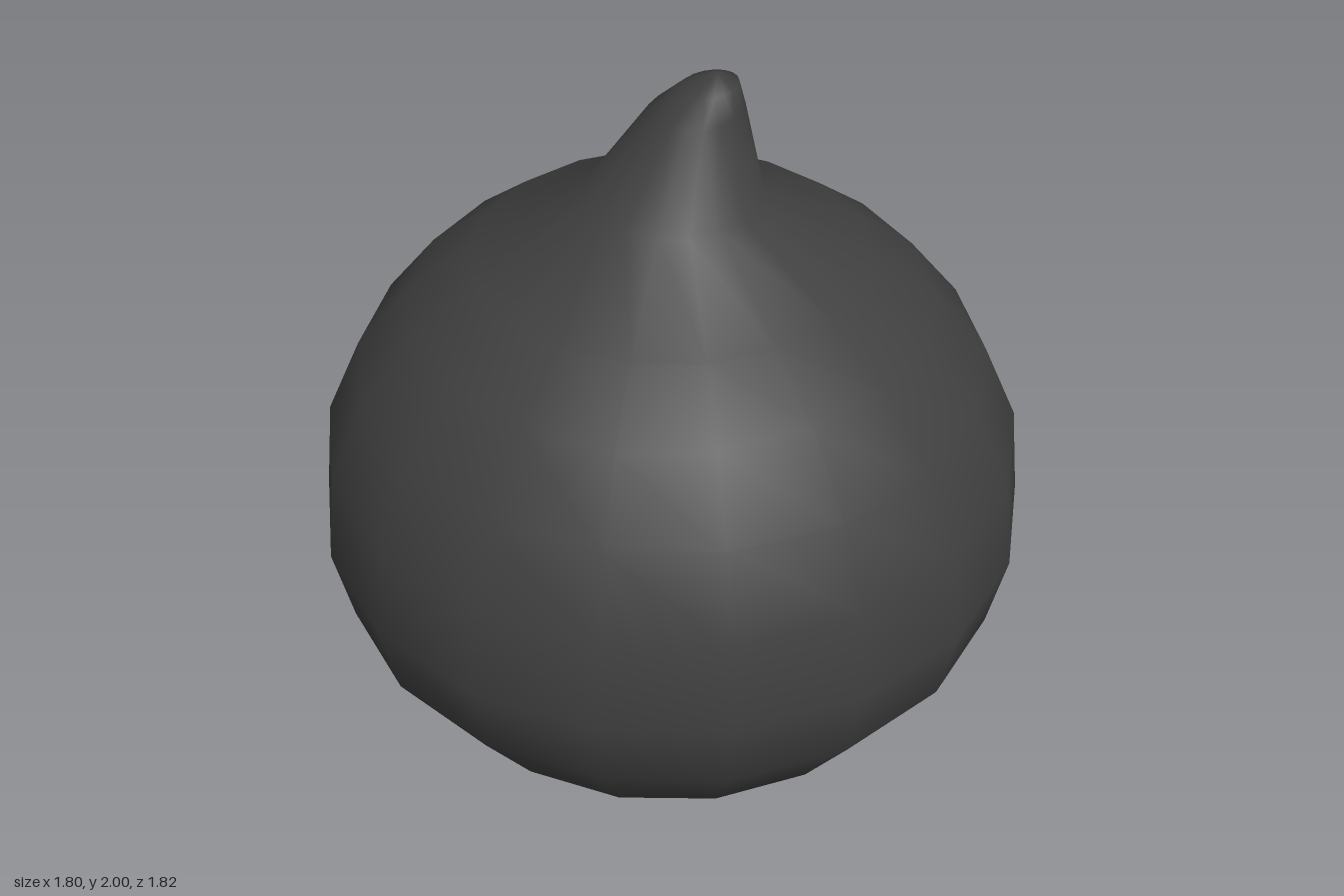
import * as THREE from 'three';
import { mergeVertices } from 'three/addons/utils/BufferGeometryUtils.js';

const skin = new THREE.MeshStandardMaterial({ color: 0x404040, roughness: 1 });

// Turned surface with welded seams, whose rings may shift sideways by a rule
function turned(profile, sides, shift) {
  const points = profile.map(([r, y]) => new THREE.Vector2(r, y));
  let geometry = new THREE.LatheGeometry(points, sides);
  const p = geometry.attributes.position;
  if (shift) {
    for (let i = 0; i < p.count; i++) {
      const [dx, dy, dz] = shift(p.getX(i), p.getY(i), p.getZ(i));
      p.setXYZ(i, p.getX(i) + dx, p.getY(i) + dy, p.getZ(i) + dz);
    }
  }
  geometry.deleteAttribute('uv');
  geometry.deleteAttribute('normal');
  geometry = mergeVertices(geometry, 1e-4);
  geometry.computeVertexNormals();
  return geometry;
}

function part(name, geometry) {
  const mesh = new THREE.Mesh(geometry, skin);
  mesh.name = name;
  return mesh;
}

export function createModel() {
  const group = new THREE.Group();
  group.name = 'onion';

  // Round bulb drawn up into a neck, with a stem leaning to the front left
  const bulb = [
    [0, 0.04], [0.16, 0.05], [0.35, 0.12], [0.53, 0.2], [0.7, 0.335], [0.87, 0.59],
    [0.912, 0.8], [0.882, 1.04], [0.79, 1.24], [0.65, 1.41], [0.49, 1.53],
    [0.215, 1.695], [0.115, 1.9], [0.07, 1.955], [0, 1.985],
  ];
  group.add(part('bulb', turned(bulb, 18, (x, y, z) => {
    if (y < 1.6) return [0, 0, 0];
    const t = (y - 1.695) / 0.29;
    const lean = 0.07 * t * t;
    return [lean, t * (0.015 + 0.12 * (x + z)), lean + 0.008];
  })));

  // Small root stub under the bulb
  const root = [[0, 0], [0.12, 0.012], [0.155, 0.04], [0.13, 0.08]];
  group.add(part('root', turned(root, 8)));

  return group;
}
